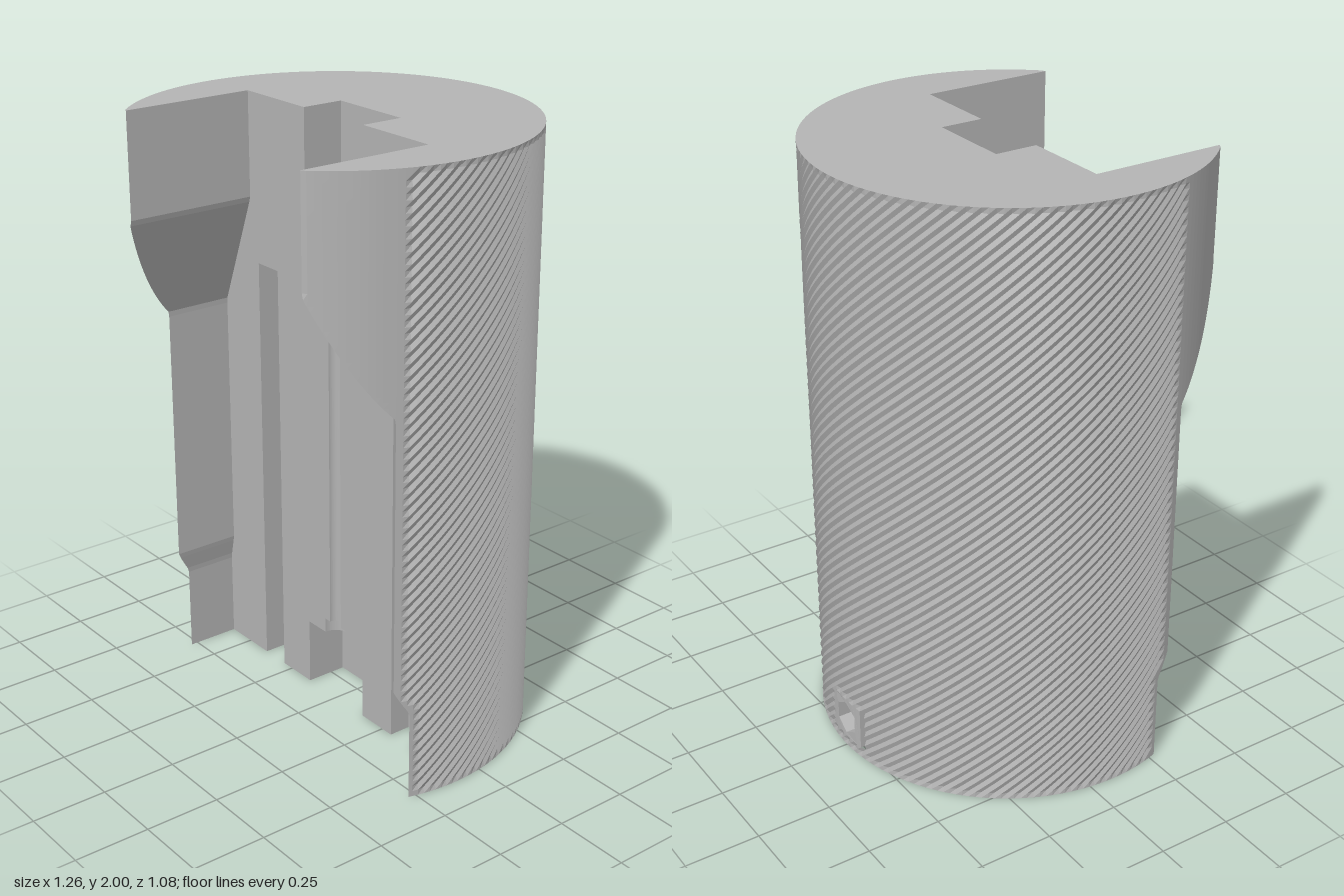
import * as THREE from 'three';

const R = 0.632, ZC = 0.092;          // outer radius and axis position
const GROOVE_Z = 0.017, POCKET_Z = -0.05, BORE_Z = -0.25;
const ROWS = 110, COLS = 144, PHI = 2.372;
const HOLE_Y = 0.11;

// Half-width of the front opening at a given height
function opening(y) {
  const k = [[0, 0.605], [0.3, 0.605], [0.38, 0.588], [1.27, 0.588], [1.65, 0.44], [2, 0.44]];
  for (let i = 1; i < k.length; i++) {
    if (y <= k[i][0]) {
      const t = (y - k[i - 1][0]) / (k[i][0] - k[i - 1][0]);
      return k[i - 1][1] + t * (k[i][1] - k[i - 1][1]);
    }
  }
  return 0.44;
}

// Point on the outer surface; phi is measured from the back
function onCylinder(y, phi, inset = 0) {
  const max = Math.PI - Math.asin(opening(y) / R);
  const p = Math.max(-max, Math.min(max, phi));
  const r = R - inset;
  return [r * Math.sin(p), y, Math.min(0.54, ZC - r * Math.cos(p))];
}

const rowY = i => 2 * i / ROWS;
const colPhi = j => PHI * (2 * j / COLS - 1);
// The grid cells replaced by the plate around the rear hole
const inPatch = (i, j, e) => i >= 2 && i < 10 + e && Math.abs(j - COLS / 2 + (e ? 0 : 0.5)) <= 4;

// Flat-shaded surface from a grid of points
function grid(rows, cols, point, flip = false, skip = () => false) {
  const pos = [];
  for (let i = 0; i < rows; i++) {
    for (let j = 0; j < cols; j++) {
      if (skip(i, j)) continue;
      const a = point(i, j), b = point(i + 1, j), c = point(i + 1, j + 1), d = point(i, j + 1);
      if (flip) pos.push(...a, ...d, ...b, ...b, ...d, ...c);
      else pos.push(...a, ...b, ...d, ...b, ...c, ...d);
    }
  }
  const g = new THREE.BufferGeometry();
  g.setAttribute('position', new THREE.Float32BufferAttribute(pos, 3));
  g.computeVertexNormals();
  return g;
}

const toShape = pts => new THREE.Shape(pts.map(p => new THREE.Vector2(p[0], p[1])));
const mirrored = pts => pts.map(([x, y]) => [-x, y]).reverse();

function plate(shape, z0, z1) {
  const g = new THREE.ExtrudeGeometry(shape, { depth: z1 - z0, bevelEnabled: false, curveSegments: 24 });
  return g.translate(0, 0, z0);
}

// Horizontal end face following the outer wall and the front cut-outs
function endFace(y, cuts, up) {
  const arc = [];
  for (let j = 0; j <= COLS; j++) {
    const [x, , z] = onCylinder(y, colPhi(j));
    const last = arc[arc.length - 1];
    if (!last || Math.hypot(x - last[0], z - last[1]) > 1e-5) arc.push([x, z]);
  }
  const half = [[opening(y), ZC], ...cuts];
  let pts = [...arc, ...half, ...mirrored(half)];
  if (up) pts = pts.map(([x, z]) => [x, -z]);
  const g = new THREE.ShapeGeometry(toShape(pts));
  return g.rotateX(up ? -Math.PI / 2 : Math.PI / 2).translate(0, y, 0);
}

// Upright block with a half-round channel in its front
function channel(r, y0, y1) {
  const w = 0.055, s = new THREE.Shape();
  s.moveTo(-w, -GROOVE_Z);
  s.lineTo(-w, -ZC);
  if (r < w) s.lineTo(-r, -ZC);
  s.absarc(0, -ZC, r, Math.PI, 0, true);
  if (r < w) s.lineTo(w, -ZC);
  s.lineTo(w, -GROOVE_Z);
  const g = new THREE.ExtrudeGeometry(s, { depth: y1 - y0, bevelEnabled: false, curveSegments: 20 });
  return g.rotateX(-Math.PI / 2).translate(0, y0, 0);
}

export function createModel() {
  const group = new THREE.Group();
  const grey = new THREE.MeshStandardMaterial({ color: 0xb4b4b4 });
  grey.name = 'grey';
  const add = (name, geometry) => {
    const mesh = new THREE.Mesh(geometry, grey);
    mesh.name = name;
    group.add(mesh);
  };

  // Knurled outer wall, smooth near its front edges and ends
  const wallPoint = (i, j) => {
    const y = rowY(i), phi = colPhi(j);
    const p = onCylinder(y, phi);
    const max = Math.PI - Math.asin(opening(y) / R);
    const knurled = i > 0 && i < ROWS && p[2] < 0.3 && Math.abs(phi) < max - 0.05 && !inPatch(i, j, 1);
    return knurled && (i + j) % 2 ? onCylinder(y, phi, 0.006) : p;
  };
  add('outerWall', grid(ROWS, COLS, wallPoint, false, (i, j) => inPatch(i, j + 1, 0)));

  // Inner faces of the two side wings
  for (const side of [1, -1]) {
    add('wingInnerFace', grid(ROWS, 1, (i, j) => {
      const y = rowY(i);
      return [side * opening(y), y, j ? onCylinder(y, PHI + 1)[2] : ZC];
    }, side > 0));
  }

  // Top and bottom faces
  const pocketCut = [[0.145, ZC], [0.145, POCKET_Z]];
  const grooveCut = [[0.4, ZC], [0.4, GROOVE_Z], [0.295, GROOVE_Z], [0.295, ZC]];
  add('topFace', endFace(2, pocketCut, true));
  add('bottomFace', endFace(0, [...grooveCut, ...pocketCut], false));

  // Front layer with the two long grooves
  const front = [[0.055, 0.23], [0.145, 0.23], [0.145, 0], [0.295, 0], [0.295, 1.44], [0.4, 1.44],
    [0.4, 0], [0.605, 0], [0.605, 2], [0.145, 2], [0.145, 1.78], [0.055, 1.78]];
  add('frontPanelLeft', plate(toShape(front), GROOVE_Z, ZC));
  add('frontPanelRight', plate(toShape(mirrored(front)), GROOVE_Z, ZC));

  // Middle layer around the top and bottom pockets
  const middle = [[0.145, 0.23], [0.145, 0], [0.605, 0], [0.605, 2], [0.145, 2], [0.145, 1.78]];
  add('pocketLayer', plate(toShape([...middle, ...mirrored(middle)]), POCKET_Z, GROOVE_Z));

  // Central rod channel with a wider seat at its foot
  add('rodChannel', channel(0.029, 0.28, 1.78));
  add('rodSeat', channel(0.055, 0.23, 0.28));

  // Pocket back with the round bore
  const back = toShape([[-0.2, 0], [0.2, 0], [0.2, 2], [-0.2, 2]]);
  back.holes.push(new THREE.Path().absarc(0, HOLE_Y, 0.032, 0, Math.PI * 2, true));
  add('pocketBack', plate(back, BORE_Z, POCKET_Z));

  // Hexagonal recess opening through the rear wall
  const edge = y => Array.from({ length: 9 }, (_, k) => [R * Math.sin(colPhi(COLS / 2 - 4 + k)), y]);
  const rear = toShape([...edge(rowY(2)), ...edge(rowY(10)).reverse()]);
  const hex = Array.from({ length: 6 }, (_, k) => {
    const a = -k * Math.PI / 3 + Math.PI / 6;
    return new THREE.Vector2(0.06 * Math.cos(a), HOLE_Y + 0.06 * Math.sin(a));
  });
  rear.holes.push(new THREE.Path(hex));
  const recess = plate(rear, -0.54, BORE_Z);
  const p = recess.attributes.position;
  for (let i = 0; i < p.count; i++) {
    if (p.getZ(i) < -0.5) p.setZ(i, ZC - Math.sqrt(R * R - p.getX(i) ** 2));
  }
  recess.computeVertexNormals();
  add('rearHexRecess', recess);

  return group;
}
